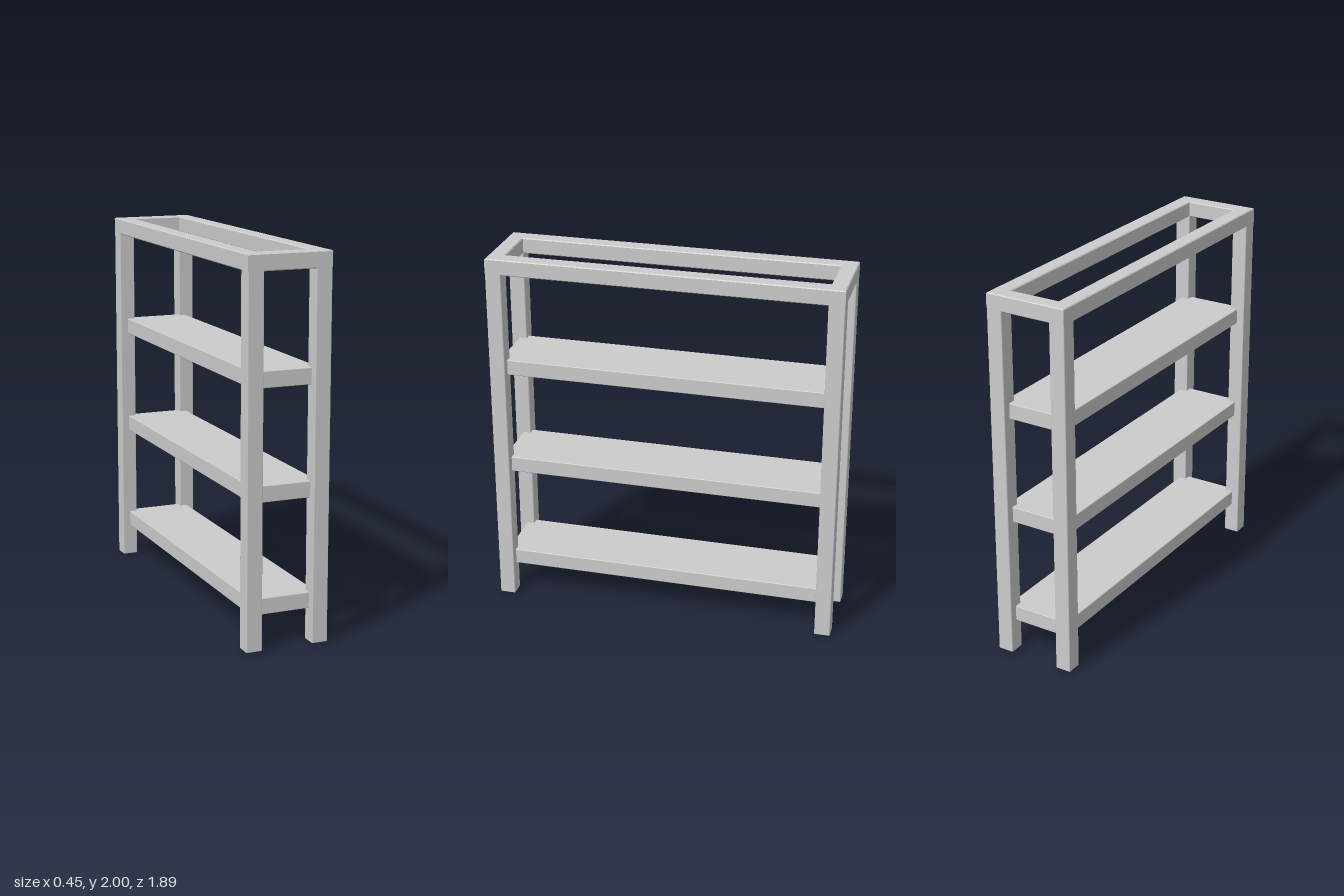
import * as THREE from 'three';
import { RoundedBoxGeometry } from 'three/addons/geometries/RoundedBoxGeometry.js';

const HX = 0.225, HZ = 0.947, T = 0.086, B = 0.005; // half width, half length, bar size, bevel

export function createModel() {
  const group = new THREE.Group();
  const material = new THREE.MeshStandardMaterial({ color: 0xcccccc });

  const add = (name, geometry, x, y, z) => {
    const mesh = new THREE.Mesh(geometry, material);
    mesh.name = name;
    mesh.position.set(x, y, z);
    group.add(mesh);
    return mesh;
  };

  const rect = (path, hx, hy) => path
    .moveTo(-hx, -hy).lineTo(hx, -hy).lineTo(hx, hy).lineTo(-hx, hy).closePath();

  // Open rectangular top frame
  const outline = rect(new THREE.Shape(), HX - B, HZ - B);
  outline.holes.push(rect(new THREE.Path(), HX - T + B, HZ - T + B));
  const frame = new THREE.ExtrudeGeometry(outline, {
    depth: T - 2 * B, bevelSize: B, bevelThickness: B, bevelSegments: 1,
  });
  frame.rotateX(-Math.PI / 2);
  add('topFrame', frame, 0, 2 - T + B, 0);

  // Four square legs, running up into the frame
  const legHeight = 2 - T / 2;
  const leg = new RoundedBoxGeometry(T, legHeight, T, 1, B);
  const cx = HX - T / 2, cz = HZ - T / 2;
  for (const [side, sx] of [['Left', 1], ['Right', -1]]) {
    for (const [end, sz] of [['front', 1], ['back', -1]]) {
      add(`${end}${side}Leg`, leg, sx * cx, legHeight / 2, sz * cz);
    }
  }

  // Three solid shelves whose corners sit at the leg centres
  const shelf = new RoundedBoxGeometry(2 * cx, T, 2 * cz, 1, B);
  [['lowerShelf', 0.219], ['middleShelf', 0.801], ['upperShelf', 1.378]]
    .forEach(([name, y]) => add(name, shelf, 0, y, 0));

  return group;
}
